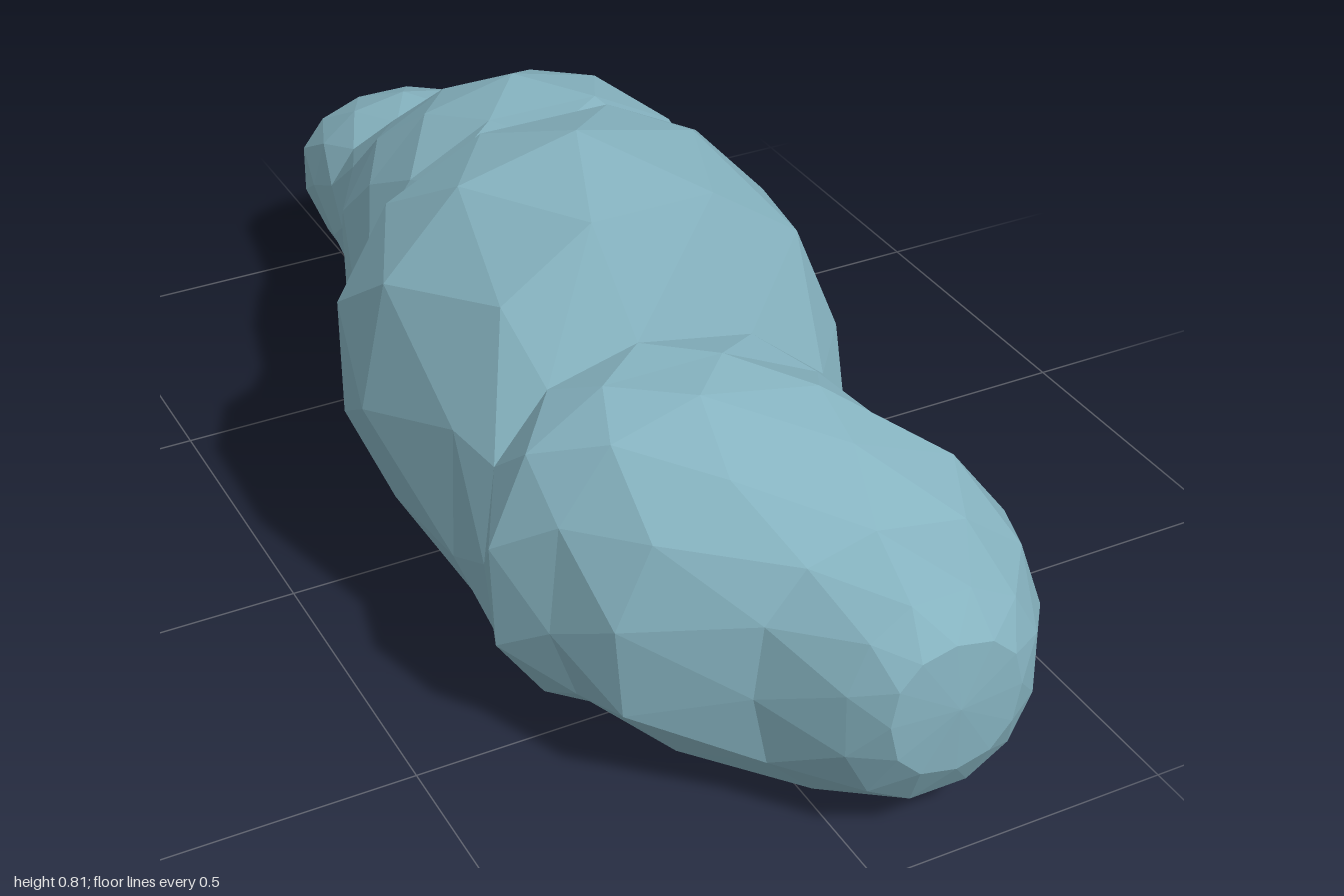
import * as THREE from 'three';

// Cross-sections from front to back:
// [z, left x, right x, bottom y, top y, x of crest, x of underside, y of widest point]
const SECTIONS = [
  [0.99, 0.01, 0.23, 0.15, 0.38, 0.11, 0.13, 0.27],
  [0.94, -0.03, 0.29, 0.07, 0.43, 0.11, 0.14, 0.25],
  [0.82, -0.11, 0.385, 0.0, 0.475, 0.08, 0.13, 0.24],
  [0.70, -0.26, 0.405, 0.02, 0.54, 0.0, 0.1, 0.24],
  [0.59, -0.32, 0.32, 0.03, 0.615, -0.08, 0.02, 0.27],
  [0.50, -0.365, 0.28, 0.02, 0.61, -0.1, -0.04, 0.28],
  [0.42, -0.345, 0.295, 0.0, 0.61, -0.09, -0.07, 0.29],
  [0.33, -0.35, 0.315, 0.02, 0.775, -0.02, -0.05, 0.35],
  [0.12, -0.41, 0.345, 0.07, 0.81, -0.04, -0.02, 0.41],
  [-0.03, -0.385, 0.345, 0.08, 0.755, -0.02, 0.0, 0.41],
  [-0.13, -0.335, 0.365, 0.095, 0.66, 0.03, 0.04, 0.38],
  [-0.24, -0.245, 0.40, 0.07, 0.655, 0.08, 0.08, 0.34],
  [-0.38, -0.22, 0.385, 0.04, 0.655, 0.09, 0.09, 0.33],
  [-0.48, -0.195, 0.355, 0.05, 0.6, 0.09, 0.09, 0.32],
  [-0.60, -0.15, 0.355, 0.065, 0.52, 0.09, 0.09, 0.3],
  [-0.73, -0.115, 0.295, 0.068, 0.415, 0.08, 0.08, 0.27],
  [-0.84, -0.11, 0.26, 0.068, 0.415, 0.08, 0.08, 0.26],
  [-0.94, -0.09, 0.24, 0.075, 0.37, 0.08, 0.08, 0.25],
];
const SIDES = 12;
const ROUND = 0.9; // below 1 makes the sections slightly fuller than an ellipse

const power = (v) => Math.sign(v) * Math.abs(v) ** ROUND;

// One faceted ring; odd rings are turned half a step so facets interlock
function ring([z, left, right, bottom, top, crestX, baseX, midY], index) {
  const points = [];
  const odd = index % 2;
  const scale = odd ? 1 / Math.cos(Math.PI / SIDES) ** ROUND : 1;
  for (let i = 0; i < SIDES; i++) {
    const a = ((i + odd / 2) / SIDES) * Math.PI * 2;
    const c = power(Math.cos(a)) * scale;
    const s = power(Math.sin(a)) * scale;
    const middle = (left + right) / 2;
    const lean = ((s > 0 ? crestX : baseX) - middle) * Math.abs(s) * (1 - Math.abs(c) * 0.5);
    const x = middle + lean + c * (right - left) / 2;
    const y = midY + s * (s > 0 ? top - midY : midY - bottom);
    points.push(x, y, z);
  }
  return points;
}

function bodyGeometry() {
  const positions = SECTIONS.flatMap(ring);
  const front = SECTIONS.length * SIDES;
  const back = front + 1;
  positions.push(0.12, 0.27, 1.0, 0.06, 0.27, -1.0);

  const indices = [];
  for (let r = 0; r < SECTIONS.length - 1; r++) {
    for (let i = 0; i < SIDES; i++) {
      const j = (i + 1) % SIDES;
      const a = r * SIDES + i, b = r * SIDES + j;
      const c = a + SIDES, d = b + SIDES;
      // Diagonals follow the half-step turn of the rings
      if (r % 2) indices.push(a, c, d, a, d, b);
      else indices.push(a, c, b, b, c, d);
    }
  }
  // Pointed ends
  const last = (SECTIONS.length - 1) * SIDES;
  for (let i = 0; i < SIDES; i++) {
    const j = (i + 1) % SIDES;
    indices.push(front, i, j);
    indices.push(back, last + j, last + i);
  }

  const geometry = new THREE.BufferGeometry();
  geometry.setAttribute('position', new THREE.Float32BufferAttribute(positions, 3));
  geometry.setIndex(indices);
  const faceted = geometry.toNonIndexed();
  faceted.computeVertexNormals();
  return faceted;
}

export function createModel() {
  const group = new THREE.Group();
  group.name = 'cloud';
  const material = new THREE.MeshStandardMaterial({ color: 0x86b3c0, flatShading: true });
  const body = new THREE.Mesh(bodyGeometry(), material);
  body.name = 'cloudBody';
  group.add(body);
  return group;
}
